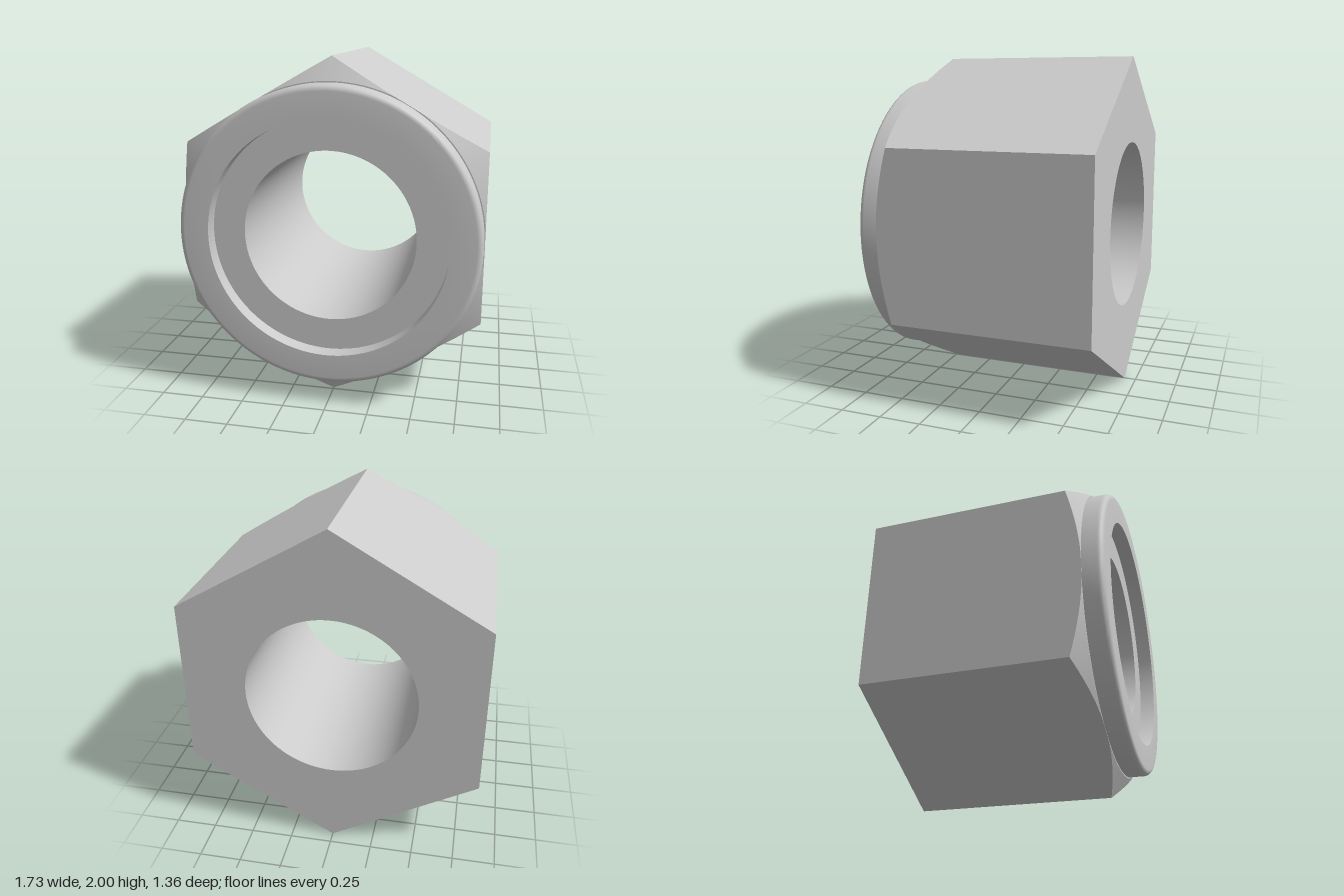
import * as THREE from 'three';
import { toCreasedNormals } from 'three/addons/utils/BufferGeometryUtils.js';

const SEGMENTS = 144;
const BACK = -0.68, SEAT = 0.56, FRONT = 0.68;
const BORE = 0.497, COLLAR = 0.863, RECESS = 0.685, FLOOR = 0.59;
const CHAMFER_R = 0.87, CORNER_Z = 0.485;

// Distance from the axis to the hexagon outline, corners at top and bottom
function hexRadius(angle) {
  const third = Math.PI / 3;
  const a = angle - Math.round(angle / third) * third;
  return Math.cos(Math.PI / 6) / Math.cos(a);
}

// Skin a list of rings, each mapping an angle to [radius, z]
function skin(rings) {
  const positions = [];
  const point = (ring, i) => {
    const angle = (i / SEGMENTS) * Math.PI * 2;
    const [r, z] = ring(angle);
    return [r * Math.cos(angle), r * Math.sin(angle), z];
  };
  for (let k = 0; k < rings.length - 1; k++) {
    for (let i = 0; i < SEGMENTS; i++) {
      const a0 = point(rings[k], i), a1 = point(rings[k], i + 1);
      const b0 = point(rings[k + 1], i), b1 = point(rings[k + 1], i + 1);
      const same = (p, q) => Math.hypot(p[0] - q[0], p[1] - q[1], p[2] - q[2]) < 1e-6;
      if (!same(a1, b1)) positions.push(...a0, ...a1, ...b1);
      if (!same(a0, b0)) positions.push(...a0, ...b1, ...b0);
    }
  }
  const geometry = new THREE.BufferGeometry();
  geometry.setAttribute('position', new THREE.Float32BufferAttribute(positions, 3));
  return toCreasedNormals(geometry, 0.4);
}

export function createModel() {
  const model = new THREE.Group();
  model.name = 'lockNut';
  const material = new THREE.MeshStandardMaterial({ color: 0xcccccc });

  // Hexagonal body: back face, six flats, conical chamfer and collar seat
  const chamferZ = (r) =>
    r <= CHAMFER_R ? SEAT : SEAT - ((r - CHAMFER_R) / (1 - CHAMFER_R)) * (SEAT - CORNER_Z);
  const body = new THREE.Mesh(skin([
    () => [BORE, BACK],
    (a) => [hexRadius(a), BACK],
    (a) => [hexRadius(a), chamferZ(hexRadius(a))],
    (a) => [Math.min(hexRadius(a), CHAMFER_R), SEAT],
    () => [COLLAR, SEAT],
  ]), material);
  body.name = 'hexBody';
  model.add(body);

  // Round collar with a filleted rim, front recess and through bore
  const fillet = 0.035;
  const profile = [new THREE.Vector2(COLLAR, SEAT)];
  for (let i = 0; i <= 6; i++) {
    const a = (i / 6) * Math.PI / 2;
    profile.push(new THREE.Vector2(
      COLLAR - fillet + fillet * Math.cos(a),
      FRONT - fillet + fillet * Math.sin(a)));
  }
  profile.push(
    new THREE.Vector2(RECESS, FRONT),
    new THREE.Vector2(RECESS, FLOOR),
    new THREE.Vector2(BORE, FLOOR),
    new THREE.Vector2(BORE, BACK));
  const lathe = new THREE.LatheGeometry(profile, SEGMENTS).rotateX(Math.PI / 2);
  const collar = new THREE.Mesh(toCreasedNormals(lathe, 0.5), material);
  collar.name = 'collarAndBore';
  model.add(collar);

  // Rest the lowest corner on the ground
  for (const part of model.children) part.position.y = 1;
  return model;
}
